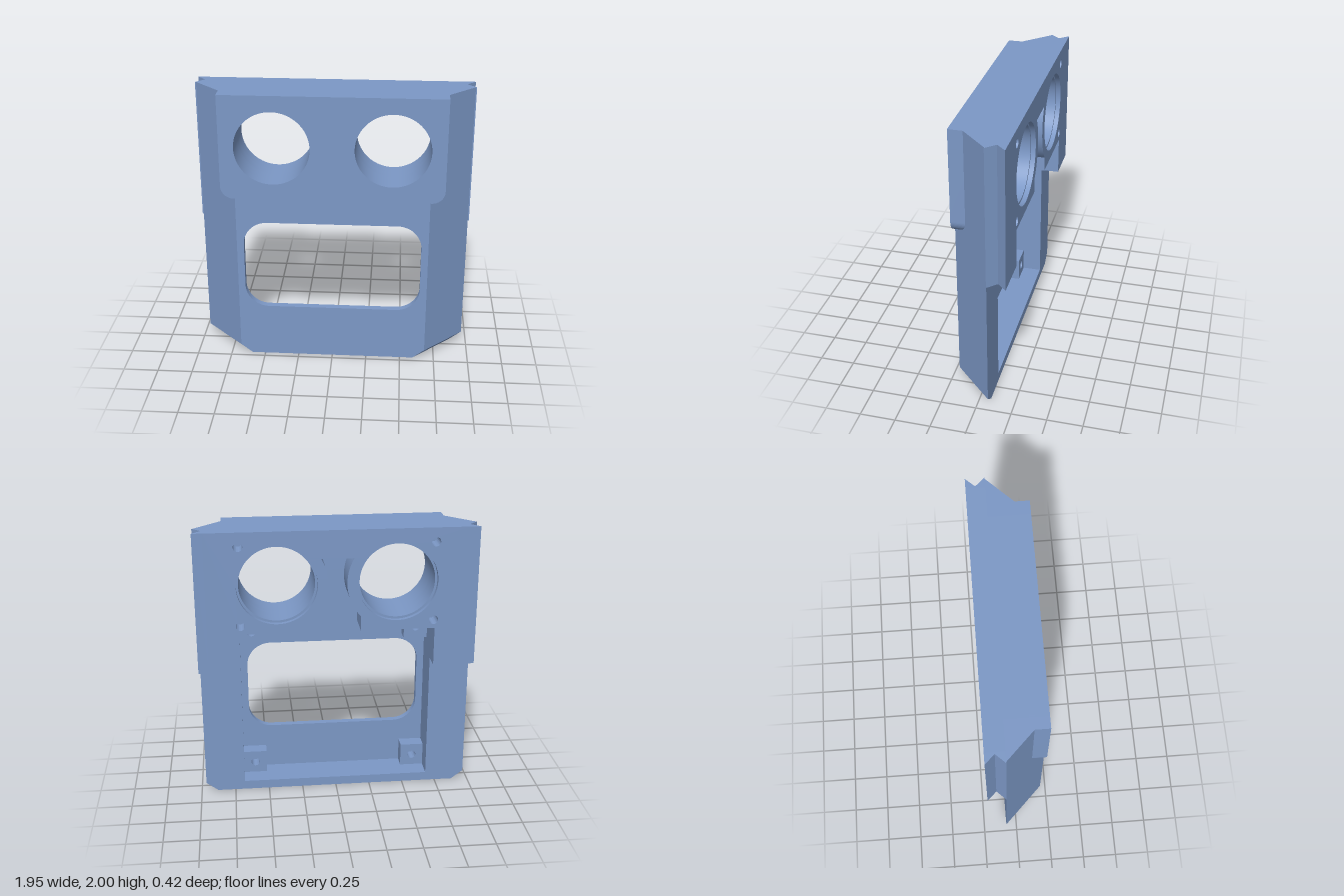
import * as THREE from 'three';
import { toCreasedNormals } from 'three/addons/utils/BufferGeometryUtils.js';

const BACK = -0.208, MID = -0.078, FRONT = 0.208;
const WALL = 0.68;      // half width of the rear cavity
const CEIL = 1.28;      // top of the rear cavity
const FLOOR = 0.065;    // bottom of the rear cavity
const PLATE = 0.16;     // inner side of the front plate
const HX = 0.415, HY = 1.625, HR = 0.262; // large round openings

export function createModel() {
  const group = new THREE.Group();
  group.name = 'housing';
  const material = new THREE.MeshStandardMaterial({ color: 0xcccccc });
  material.color.set(0x7c98c6);

  const add = (name, geometry) => {
    const mesh = new THREE.Mesh(toCreasedNormals(geometry, 0.5), material);
    mesh.name = name;
    group.add(mesh);
    return mesh;
  };
  const polygon = pts => new THREE.Shape(pts.map(p => new THREE.Vector2(p[0], p[1])));
  const circle = (x, y, r) => new THREE.Path().absarc(x, y, r, 0, Math.PI * 2, true);

  // Outline in x/y, extruded from z0 to z1
  const slabZ = (shape, z0, z1) =>
    new THREE.ExtrudeGeometry(shape, { depth: z1 - z0, bevelEnabled: false, curveSegments: 48 }).translate(0, 0, z0);
  // Outline in x/z, extruded from y0 to y1
  const prismY = (pts, y0, y1) =>
    new THREE.ExtrudeGeometry(polygon(pts.map(([x, z]) => [x, -z])), { depth: y1 - y0, bevelEnabled: false })
      .rotateX(-Math.PI / 2).translate(0, y0, 0);

  // Rounded rectangle
  const rounded = (path, w, y0, y1, r) => {
    path.moveTo(-w + r, y0);
    path.absarc(w - r, y0 + r, r, -Math.PI / 2, 0);
    path.absarc(w - r, y1 - r, r, 0, Math.PI / 2);
    path.absarc(-w + r, y1 - r, r, Math.PI / 2, Math.PI);
    path.absarc(-w + r, y0 + r, r, Math.PI, Math.PI * 1.5);
    path.closePath();
    return path;
  };

  // Base with chamfered lower corners: its lowest points are pulled inward
  const base = prismY([[-0.965, MID], [0.965, MID], [WALL, FRONT], [-WALL, FRONT]], 0, FLOOR);
  const p = base.attributes.position;
  for (let i = 0; i < p.count; i++) {
    if (p.getY(i) < 0.01) p.setX(i, p.getX(i) - Math.sign(p.getX(i)) * 0.085);
  }
  add('base', base);

  // Front plate with the window
  const plate = polygon([[-WALL, FLOOR], [WALL, FLOOR], [WALL, CEIL], [-WALL, CEIL]]);
  plate.holes.push(rounded(new THREE.Path(), 0.63, 0.4, 1.07, 0.17));
  add('frontPlate', slabZ(plate, PLATE, FRONT));

  // Upper outline; the cable channel between the openings cuts in from below
  const upper = (w, drop, channel, holeR) => {
    const s = new THREE.Shape();
    if (drop) { s.moveTo(-w, 1); s.lineTo(-WALL, 1); s.lineTo(-WALL, CEIL); }
    else s.moveTo(-w, CEIL);
    if (channel) {
      s.lineTo(-0.16, CEIL);
      s.absarc(-HX, HY, 0.35, -0.76, 0.53);
      s.absarc(HX, HY, 0.35, Math.PI - 0.53, Math.PI + 0.76);
      s.lineTo(0.16, CEIL);
    }
    if (drop) { s.lineTo(WALL, CEIL); s.lineTo(WALL, 1); s.lineTo(w, 1); }
    else s.lineTo(w, CEIL);
    s.lineTo(w, 2);
    s.lineTo(-w, 2);
    s.closePath();
    for (const x of [-HX, HX]) s.holes.push(circle(x, HY, holeR));
    return s;
  };

  // Back slab in two layers, the outer one with a shallow counterbore
  const layers = [[BACK, -0.175, 0.278], [-0.175, MID, HR]];
  for (const [z0, z1, r] of layers) {
    const s = upper(0.9, true, true, r);
    for (const x of [-0.67, 0.67]) for (const y of [1.34, 1.9]) s.holes.push(circle(x, y, 0.032));
    add('backSlab', slabZ(s, z0, z1));
  }

  // Solid upper body, the rear layer with the channel
  add('upperBodyRear', slabZ(upper(0.7, false, true, HR), MID, 0.01));
  add('upperBodyFront', slabZ(upper(0.7, false, false, HR), 0.01, FRONT));

  for (const side of [-1, 1]) {
    const mirror = pts => pts.map(([x, z]) => [side * x, z]);
    const label = side > 0 ? 'left' : 'right';

    // Sloping side wall
    add(label + 'SideWall', prismY(mirror([[WALL, MID], [0.965, MID], [WALL, FRONT]]), FLOOR, 2));

    // Grooved rail along the slab edge
    add(label + 'GroovedRail', prismY(mirror(
      [[0.9, BACK], [0.973, BACK], [0.912, -0.143], [0.973, MID], [0.9, MID]]), 1, 2));

    // Front shoulder with rounded lower corner
    const ear = new THREE.Shape();
    ear.moveTo(side * WALL, 1.25);
    ear.lineTo(side * 0.69, 1.25);
    ear.absarc(side * 0.69, 1.34, 0.09, -Math.PI / 2, side > 0 ? 0 : -Math.PI, side < 0);
    ear.lineTo(side * 0.78, 2);
    ear.lineTo(side * WALL, 2);
    ear.closePath();
    add(label + 'Shoulder', slabZ(ear, 0.08, FRONT));

    // Screw bosses in the cavity corners
    for (const y of [FLOOR, CEIL - 0.17]) {
      const x0 = side > 0 ? WALL - 0.17 : -WALL;
      const boss = polygon([[x0, y], [x0 + 0.17, y], [x0 + 0.17, y + 0.17], [x0, y + 0.17]]);
      boss.holes.push(circle(x0 + 0.085, y + 0.085, 0.032));
      add(label + 'ScrewBoss', slabZ(boss, 0.06, PLATE));
    }
  }
  return group;
}
